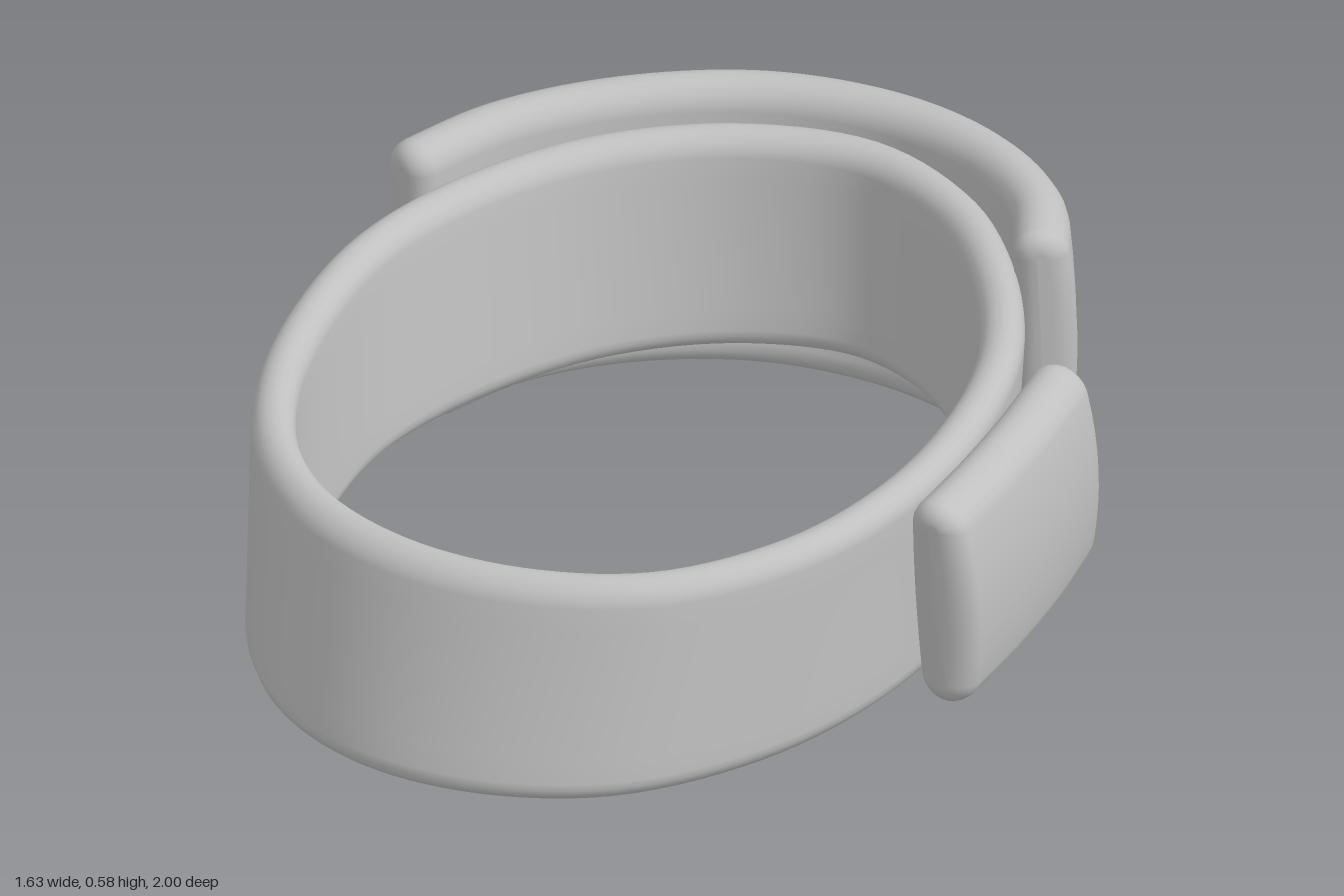
import * as THREE from 'three';

const plastic = new THREE.MeshStandardMaterial({ color: 0xc0c0c0 });
plastic.name = 'plain grey';

const curve = (pts, closed) =>
  new THREE.CatmullRomCurve3(pts.map(p => new THREE.Vector3(...p)), closed, 'centripetal');

// Upright rounded cross-section as a list of (n, y), half thickness h and half height H
function section(h, H, bulge) {
  const r = Math.min(h, H), pts = [];
  const add = (n, y) => pts.push([n * (1 + bulge * (1 - (y / H) ** 2)), y]);
  for (let i = 0; i < 8; i++) add(h, (H - r) * (i / 4 - 1));
  for (let i = 0; i <= 10; i++) add(h * Math.cos(i * Math.PI / 10), H - r + r * Math.sin(i * Math.PI / 10));
  for (let i = 1; i < 8; i++) add(-h, (H - r) * (1 - i / 4));
  for (let i = 0; i < 10; i++) add(-h * Math.cos(i * Math.PI / 10), -H + r - r * Math.sin(i * Math.PI / 10));
  return pts;
}

// Upright strap swept between a top edge curve and a bottom edge curve
function strap(name, top, bottom, { half, closed = false, bulge = 0, bow = 0, steps = 64 }) {
  const ct = curve(top, closed), cb = curve(bottom, closed), L = ct.getLength();
  const round = half * 0.8, e = round / L, rings = [], pos = [], idx = [];
  if (closed) {
    for (let i = 0; i < steps; i++) rings.push([i / steps, 0]);
  } else {
    // rounded ends: the section shrinks along a quarter circle
    const head = [];
    for (let k = 0; k < 6; k++) {
      const a = k / 6 * Math.PI / 2;
      head.push([e * (1 - Math.cos(a)), round * (1 - Math.sin(a))]);
    }
    rings.push(...head);
    for (let i = 0; i <= steps; i++) rings.push([e + (1 - 2 * e) * i / steps, 0]);
    for (const [u, d] of head.reverse()) rings.push([1 - u, d]);
  }
  let n = 0;
  for (const [u, inset] of rings) {
    const a = ct.getPoint(u), b = cb.getPoint(u);
    const t = ct.getTangent(u).add(cb.getTangent(u)).setY(0).normalize();
    const H = (a.y - b.y) / 2, sec = section(half - inset, H - inset, bulge);
    n = sec.length;
    for (const [o, y] of sec) {
      const v = (y / H + 1) / 2, p = b.clone().lerp(a, v);
      const off = o + bow * 4 * v * (1 - v);
      pos.push(p.x + t.z * off, p.y, p.z - t.x * off);
    }
  }
  const R = rings.length;
  for (let i = 0; i < (closed ? R : R - 1); i++)
    for (let j = 0; j < n; j++) {
      const k = (j + 1) % n, m = (i + 1) % R;
      const A = i * n + j, B = i * n + k, C = m * n + k, D = m * n + j;
      idx.push(A, B, D, B, C, D);
    }
  // end caps
  if (!closed)
    for (const first of [true, false]) {
      const base = first ? 0 : (R - 1) * n, c = pos.length / 3, s = [0, 0, 0];
      for (let j = 0; j < n; j++) for (let q = 0; q < 3; q++) s[q] += pos[(base + j) * 3 + q] / n;
      pos.push(...s);
      for (let j = 0; j < n; j++) {
        const k = (j + 1) % n;
        if (first) idx.push(c, base + k, base + j);
        else idx.push(c, base + j, base + k);
      }
    }
  const g = new THREE.BufferGeometry();
  g.setAttribute('position', new THREE.Float32BufferAttribute(pos, 3));
  g.setIndex(idx);
  g.computeVertexNormals();
  const mesh = new THREE.Mesh(g, plastic);
  mesh.name = name;
  return mesh;
}

// Lower edge of the band: sheared forward and slightly twisted at the front
function lowerEdge([x, z]) {
  const front = Math.max(0, z);
  return [x + 0.027 - 0.027 * x - 0.1 * x * front, 0.09 + 0.022 * front ** 2, z + 0.095 + 0.052 * z];
}

export function createModel() {
  const group = new THREE.Group();
  group.name = 'strapRing';

  // Main oval band
  const rim = [
    [-0.11, -0.84], [0.13, -0.775], [0.335, -0.605], [0.495, -0.38], [0.588, -0.11], [0.618, 0.16],
    [0.577, 0.43], [0.44, 0.67], [0.24, 0.795], [0, 0.838], [-0.24, 0.787], [-0.425, 0.655],
    [-0.56, 0.46], [-0.655, 0.2], [-0.695, -0.07], [-0.65, -0.34], [-0.53, -0.585], [-0.34, -0.76],
  ];
  group.add(strap('band', rim.map(([x, z]) => [x, 0.515, z]), rim.map(lowerEdge),
    { half: 0.042, closed: true, steps: 120 }));

  // Taller strap wrapped around the back
  group.add(strap('backStrap',
    [[-0.773, 0.57, -0.26], [-0.706, 0.568, -0.5], [-0.562, 0.563, -0.72], [-0.36, 0.56, -0.88],
      [-0.12, 0.56, -0.945], [0.1, 0.565, -0.915], [0.28, 0.573, -0.81], [0.402, 0.58, -0.645]],
    [[-0.71, 0.01, -0.25], [-0.648, 0.01, -0.46], [-0.515, 0.006, -0.65], [-0.32, 0.003, -0.79],
      [-0.1, 0, -0.85], [0.11, 0.005, -0.83], [0.28, 0.012, -0.76], [0.402, 0.02, -0.635]],
    { half: 0.052, bulge: 0.1, bow: 0.02 }));

  // Short pad on the left side
  group.add(strap('sidePad',
    [[0.615, 0.51, -0.405], [0.667, 0.517, -0.2], [0.705, 0.522, 0], [0.732, 0.525, 0.21]],
    [[0.635, 0.095, -0.4], [0.69, 0.095, -0.2], [0.73, 0.097, 0], [0.757, 0.1, 0.205]],
    { half: 0.05, bulge: 0.35, bow: 0.01, steps: 24 }));

  return group;
}
